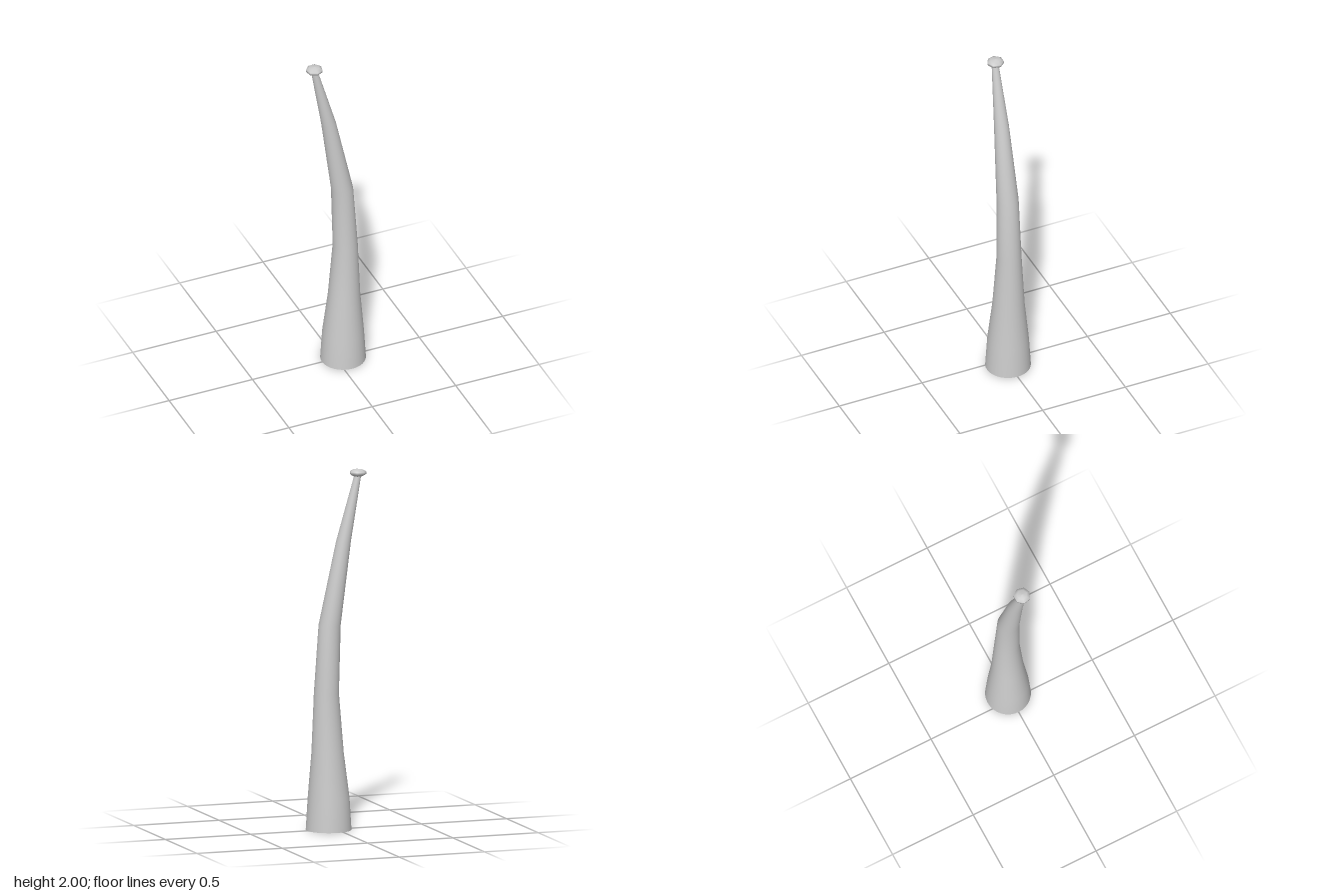
import * as THREE from 'three';
import { mergeVertices } from 'three/addons/utils/BufferGeometryUtils.js';

// Stem rings from bottom to top: [height, centre x, radius]
const RINGS = [
  [0, 0.043, 0.126],
  [0.18, 0.043, 0.115],
  [0.43, 0.049, 0.089],
  [0.76, 0.056, 0.069],
  [1.14, 0.037, 0.061],
  [1.6, -0.044, 0.041],
  [1.966, -0.128, 0.019],
];

// Unit cylinder whose rows are moved onto the rings; caps stay sharp
function bentStem(rings, sides) {
  const rows = rings.length - 1;
  let geometry = new THREE.CylinderGeometry(1, 1, 1, sides, rows);
  geometry.deleteAttribute('uv');
  geometry = mergeVertices(geometry);
  const p = geometry.attributes.position;
  for (let i = 0; i < p.count; i++) {
    const [y, cx, r] = rings[Math.round((p.getY(i) + 0.5) * rows)];
    p.setXYZ(i, cx + p.getX(i) * r, y, p.getZ(i) * r);
  }
  geometry.computeVertexNormals();
  return geometry;
}

// Flattened seven-sided ball
function knobGeometry(radius, halfHeight, sides, rows) {
  const profile = [];
  for (let i = 0; i <= rows; i++) {
    const a = (i / rows) * Math.PI;
    profile.push(new THREE.Vector2(Math.sin(a) * radius, -Math.cos(a) * halfHeight));
  }
  return new THREE.LatheGeometry(profile, sides);
}

export function createModel() {
  const group = new THREE.Group();
  group.name = 'curvedHorn';
  const material = new THREE.MeshStandardMaterial({ color: 0xcccccc });

  const stem = new THREE.Mesh(bentStem(RINGS, 32), material);
  stem.name = 'stem';

  const knob = new THREE.Mesh(knobGeometry(0.049, 0.022, 7, 5), material);
  knob.name = 'tipKnob';
  knob.position.set(-0.128, 1.978, -0.002);

  group.add(stem, knob);
  return group;
}
